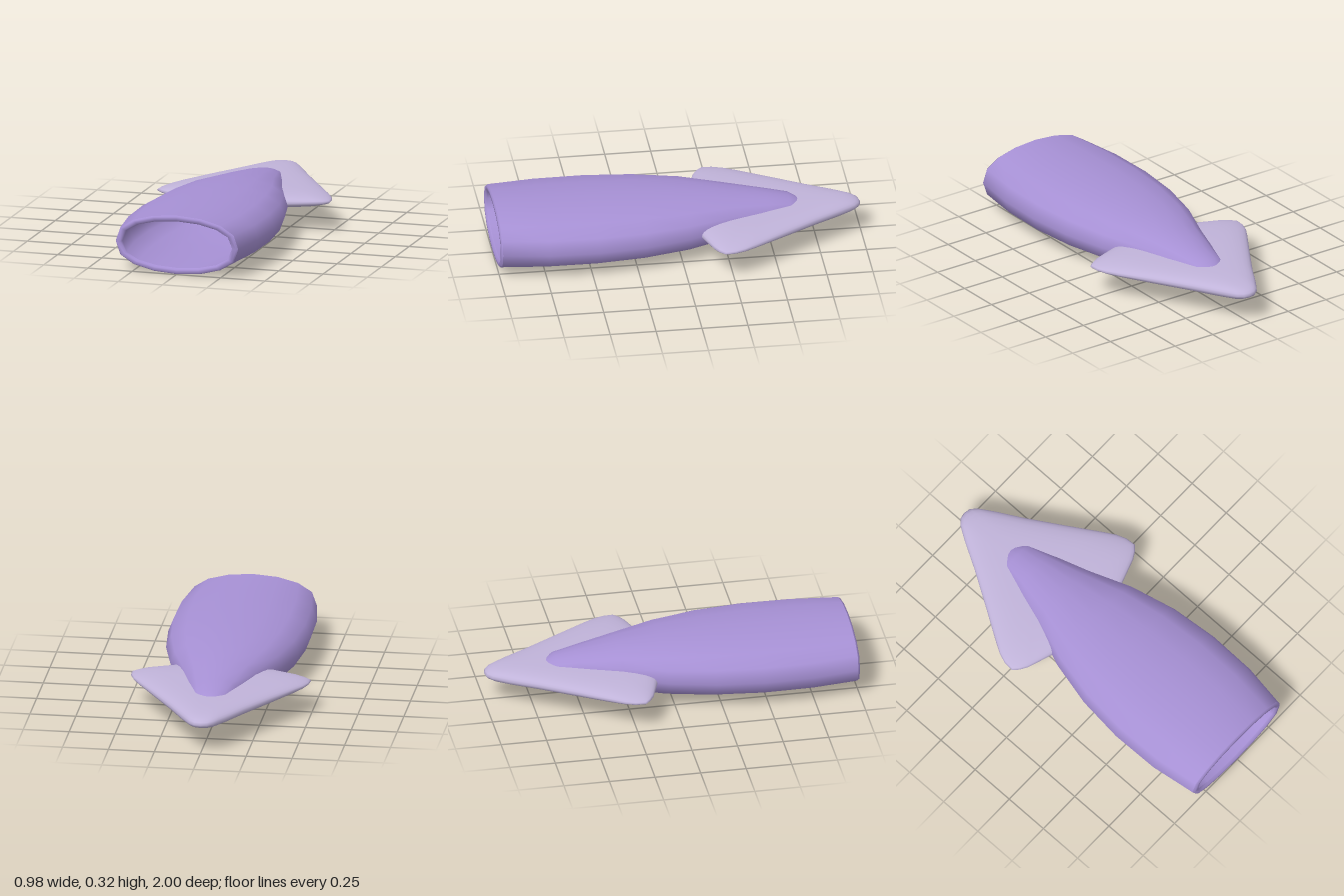
import * as THREE from 'three';

const MID_Y = 0.163;
const SIDES = 16;

// Skin a list of closed rings (arrays of Vector3) into one smooth surface
function loft(rings) {
  const n = rings[0].length;
  const positions = [];
  const index = [];
  for (const ring of rings) for (const p of ring) positions.push(p.x, p.y, p.z);
  for (let s = 0; s < rings.length - 1; s++) {
    for (let i = 0; i < n; i++) {
      const j = (i + 1) % n;
      const a = s * n + i, b = s * n + j, c = a + n, d = b + n;
      index.push(a, c, b, b, c, d);
    }
  }
  const geometry = new THREE.BufferGeometry();
  geometry.setAttribute('position', new THREE.Float32BufferAttribute(positions, 3));
  geometry.setIndex(index);
  geometry.computeVertexNormals();
  return geometry;
}

// Slightly squared oval ring across the body: [z, half width, half height]
function ovalRing([z, rx, ry]) {
  return Array.from({ length: SIDES }, (_, i) => {
    const a = (i / SIDES) * Math.PI * 2;
    const c = Math.cos(a);
    const y = Math.sign(c) * Math.pow(Math.abs(c), 0.8) * ry;
    return new THREE.Vector3(Math.sin(a) * rx, MID_Y + y, z);
  });
}

export function createModel() {
  const group = new THREE.Group();
  const purple = new THREE.MeshStandardMaterial({ name: 'mantlePurple', color: 0xa690d4 });
  const lilac = new THREE.MeshStandardMaterial({ name: 'finLilac', color: 0xc0b3d9 });

  const add = (name, rings, material) => {
    const mesh = new THREE.Mesh(loft(rings), material);
    mesh.name = name;
    group.add(mesh);
  };

  // Outer body, from the closed tip to the open mouth
  const outer = [
    [-0.687, 0.002, 0.002], [-0.683, 0.03, 0.022], [-0.665, 0.062, 0.042],
    [-0.61, 0.105, 0.066], [-0.49, 0.138, 0.089], [-0.27, 0.21, 0.121],
    [-0.04, 0.302, 0.144], [0.21, 0.362, 0.156], [0.47, 0.388, 0.161],
    [0.74, 0.383, 0.162], [0.99, 0.346, 0.162],
  ];
  add('mantle', outer.map(ovalRing), purple);

  // Thick rounded lip around the mouth
  const lip = [[0.99, 0.346, 0.162], [1, 0.338, 0.155], [1, 0.318, 0.137], [0.985, 0.31, 0.129]];
  add('mouthRim', lip.map(ovalRing), purple);

  // Hollow interior
  const inner = [
    [0.985, 0.31, 0.129], [0.74, 0.345, 0.129], [0.47, 0.345, 0.127],
    [0.21, 0.3, 0.115], [0.02, 0.2, 0.085], [-0.06, 0.09, 0.045], [-0.085, 0.002, 0.002],
  ];
  add('mantleInterior', inner.map(ovalRing), purple);

  // Arrow-shaped tail fin: half outline as [x, z], mirrored
  const half = [
    [0, -1], [0.035, -0.993], [0.065, -0.968], [0.09, -0.93], [0.12, -0.882], [0.2, -0.74],
    [0.32, -0.545], [0.43, -0.37], [0.465, -0.31], [0.485, -0.255], [0.489, -0.2],
    [0.46, -0.172], [0.42, -0.148], [0.28, -0.1], [0.14, -0.09], [0, -0.09],
  ];
  const outline = [
    ...half.map(([x, z]) => [-x, z]),
    ...half.slice(1, -1).reverse(),
  ];
  const centreZ = -0.45;
  const finRing = (s, side) => outline.map(([x, z]) => {
    const thin = 1 - 0.5 * Math.pow(x * s / 0.489, 4);
    const h = 0.045 * Math.sqrt(Math.max(0, 1 - Math.pow(s, 6))) * thin;
    return new THREE.Vector3(x * s, MID_Y + side * h, centreZ + (z - centreZ) * s);
  });
  const steps = [0.001, 0.3, 0.55, 0.72, 0.84, 0.91, 0.955, 0.985];
  add('tailFin', [
    ...steps.map((s) => finRing(s, 1)),
    finRing(1, 1),
    ...steps.slice().reverse().map((s) => finRing(s, -1)),
  ], lilac);

  return group;
}
